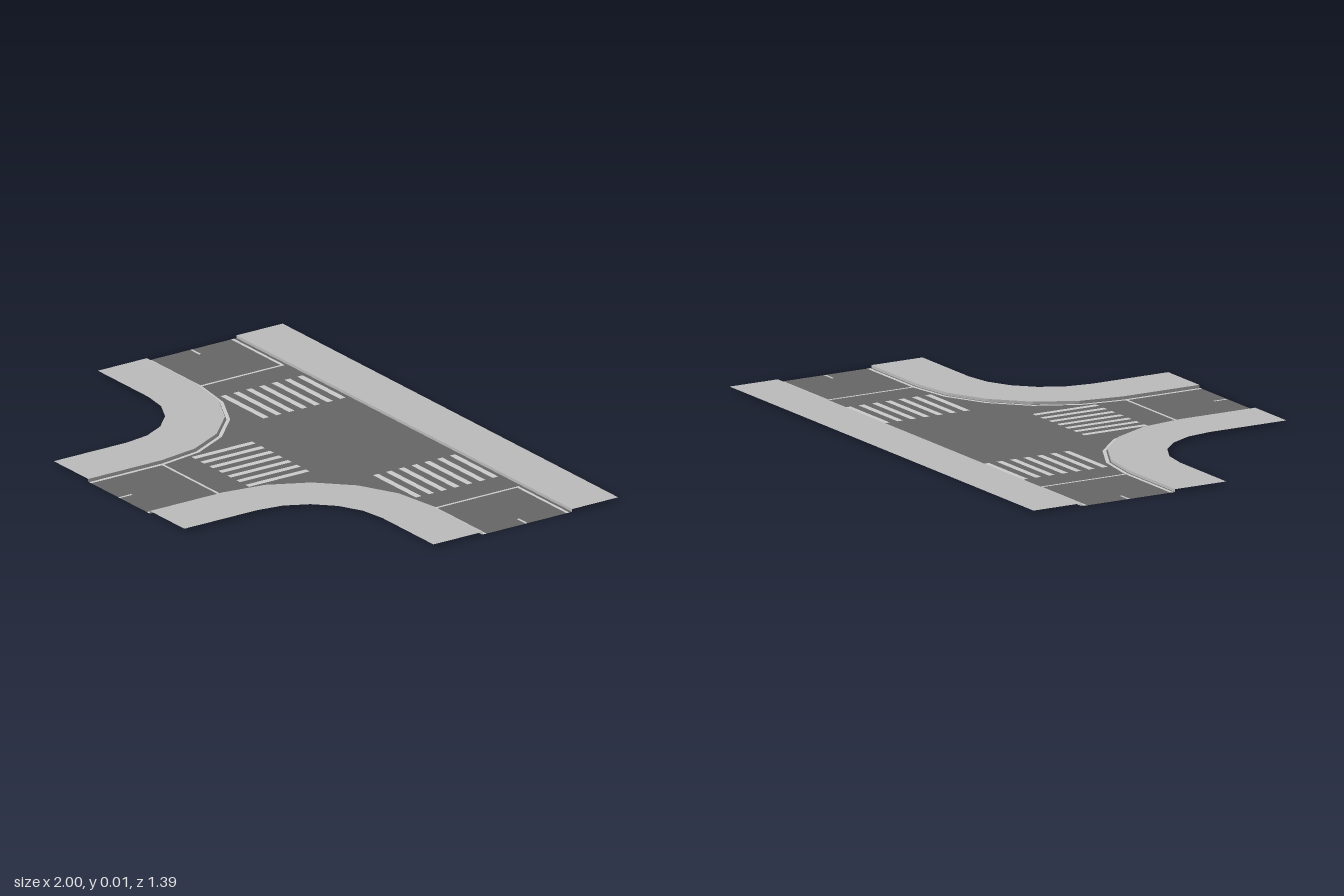
import * as THREE from 'three';

const CURB = 0.01;                 // pavement height above the road
const BACK = -0.693, FRONT = 0.693, END = 1;
const ROAD_BACK = -0.5;            // rear edge of the road
const CX = 0.696, CZ = 0.387;      // centre of the corner arcs
const R_WALK = 0.307, R_CURB = 0.512, R_LINE = 0.517, R_ROAD = 0.53;
const LINE = 0.01;                 // width of the painted stop lines

const material = (color) => new THREE.MeshStandardMaterial({ color, side: THREE.DoubleSide });

// Corner arc of the +x side, from the side arm round to the front arm
function arc(r) {
  const pts = [];
  for (let i = 0; i <= 5; i++) {
    const a = (i / 5) * Math.PI / 2;
    pts.push([CX - r * Math.sin(a), CZ - r * Math.cos(a)]);
  }
  return pts;
}

// The corner arc with its straight run to both arm ends
const edge = (r) => [[END, CZ - r], ...arc(r), [CX - r, FRONT]];
const mirror = (pts) => pts.map(([x, z]) => [-x, z]);
const band = (r1, r2) => [...edge(r1), ...edge(r2).reverse()];
const rect = (x1, x2, z1, z2) => [[x1, z1], [x2, z1], [x2, z2], [x1, z2]];

// Flat sheet from an outline of [x, z] corners
function sheet(outline, y = 0, holes = []) {
  const toV = (pts) => pts.map(([x, z]) => new THREE.Vector2(x, -z));
  const shape = new THREE.Shape(toV(outline));
  for (const h of holes) shape.holes.push(new THREE.Path(toV(h)));
  return new THREE.ShapeGeometry(shape).rotateX(-Math.PI / 2).translate(0, y, 0);
}

// Upright kerb face along a line of [x, z] points
function kerb(pts) {
  const pos = [];
  for (let i = 0; i < pts.length - 1; i++) {
    const [ax, az] = pts[i], [bx, bz] = pts[i + 1];
    pos.push(ax, 0, az, bx, 0, bz, bx, CURB, bz, ax, 0, az, bx, CURB, bz, ax, CURB, az);
  }
  const g = new THREE.BufferGeometry();
  g.setAttribute('position', new THREE.Float32BufferAttribute(pos, 3));
  g.computeVertexNormals();
  return g;
}

export function createModel() {
  const model = new THREE.Group();
  model.name = 'roadJunction';
  const asphalt = material(0x666666);
  const paving = material(0xbbbbbb);
  const paint = material(0xe0e0e0);
  const add = (name, geometry, mat) => {
    const mesh = new THREE.Mesh(geometry, mat);
    mesh.name = name;
    model.add(mesh);
  };

  // Crossing stripes, seven per arm
  const stripes = [];
  for (let i = -3; i <= 3; i++) {
    const o = i * 0.0535, w = 0.0115;
    for (const s of [-1, 1]) stripes.push(rect(s * 0.326, s * 0.583, -0.312 + o - w, -0.312 + o + w));
    stripes.push(rect(o - w, o + w, 0.016, 0.27));
  }
  stripes.forEach((s) => add('crossingStripe', sheet(s), paint));

  // Middle of the junction, cut out around the stripes
  const core = [[-CX, ROAD_BACK], [CX, ROAD_BACK], ...arc(R_ROAD), ...mirror(arc(R_ROAD)).reverse()];
  add('junctionRoad', sheet(core, 0, stripes), asphalt);

  // Both side arms and their corners
  const lineBack = ROAD_BACK + 0.011, roadBack = lineBack + 0.012;
  const roadFront = CZ - R_ROAD, stop = CX + LINE;
  const d1 = -0.315, d2 = -0.306, dx = 0.947;
  const armRoad = [[stop, roadBack], [END, roadBack], [END, d1], [dx, d1], [dx, d2], [END, d2],
    [END, roadFront], [stop, roadFront]];
  for (const [side, s] of [['left', 1], ['right', -1]]) {
    const m = (pts) => (s > 0 ? pts : mirror(pts));
    add(side + 'Pavement', sheet(m(band(R_WALK, R_CURB)), CURB), paving);
    add(side + 'Kerb', kerb(s > 0 ? edge(R_CURB).reverse() : mirror(edge(R_CURB))), paving);
    add(side + 'Gutter', sheet(m(band(R_CURB, R_LINE))), asphalt);
    add(side + 'EdgeLine', sheet(m(band(R_LINE, R_ROAD))), paint);
    add(side + 'ArmRoad', sheet(m(armRoad)), asphalt);
    add(side + 'CentreDash', sheet(m(rect(dx, END, d1, d2))), paint);
    add(side + 'StopLine', sheet(m(rect(CX, stop, roadBack, roadFront))), paint);
    add(side + 'RearLine', sheet(m(rect(CX, END, lineBack, roadBack))), paint);
    add(side + 'RearGutter', sheet(m(rect(CX, END, ROAD_BACK, lineBack))), asphalt);
  }

  // Front arm, notched for its centre dash
  const hx = CX - R_ROAD, w = 0.0045, dz = 0.64, fz = CZ + LINE;
  add('frontArmRoad', sheet([[-hx, fz], [hx, fz], [hx, FRONT], [w, FRONT], [w, dz], [-w, dz],
    [-w, FRONT], [-hx, FRONT]]), asphalt);
  add('frontCentreDash', sheet(rect(-w, w, dz, FRONT)), paint);
  add('frontStopLine', sheet(rect(-hx, hx, CZ, fz)), paint);

  // Straight pavement along the back
  add('backPavement', sheet(rect(-END, END, BACK, ROAD_BACK), CURB), paving);
  add('backKerb', kerb([[-END, ROAD_BACK], [END, ROAD_BACK]]), paving);

  return model;
}
